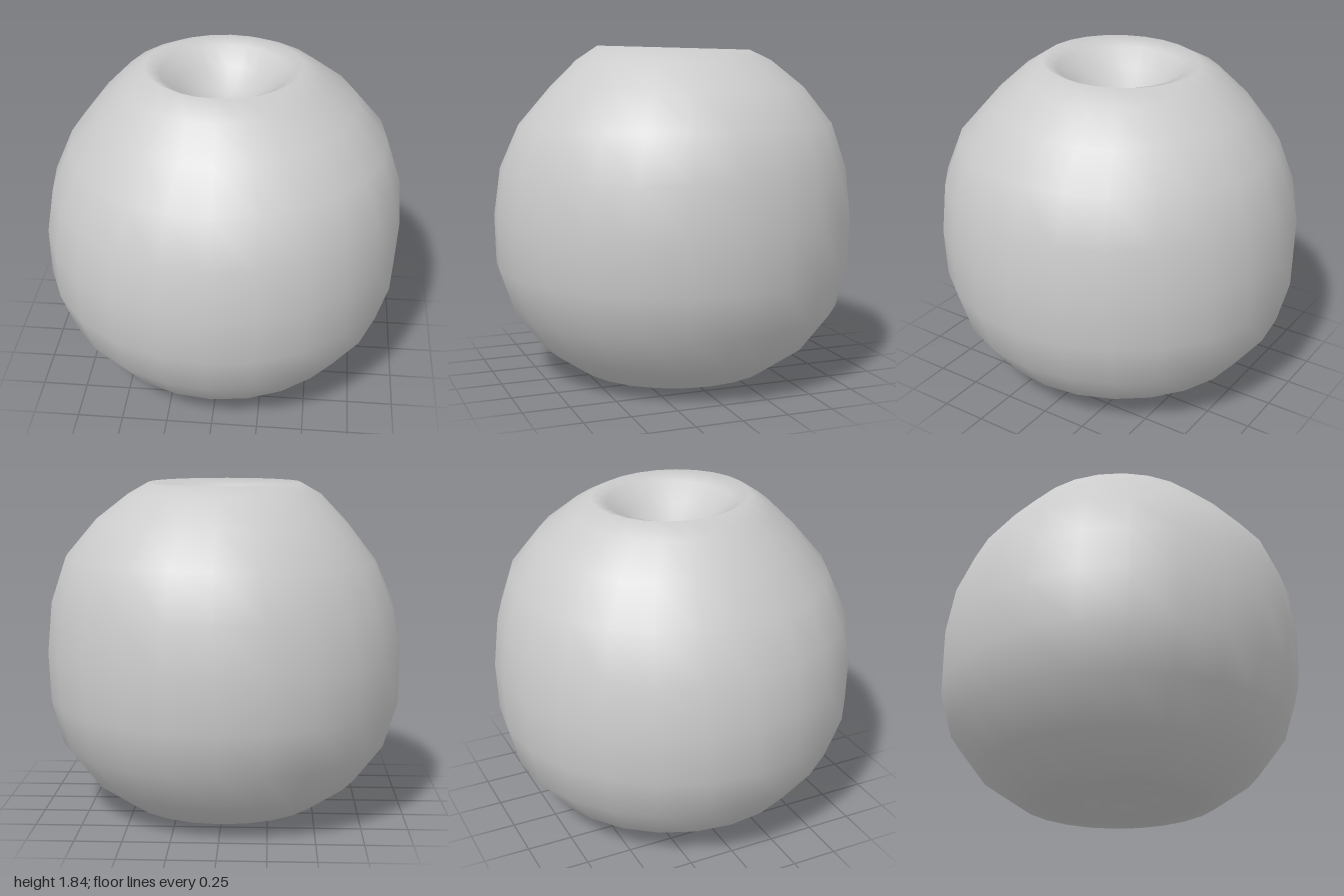
import * as THREE from 'three';
import { mergeVertices } from 'three/addons/utils/BufferGeometryUtils.js';

// Profile rings from the base dimple up and into the top dimple:
// radius, height, x shift, z shift, sideways tilt
const RINGS = [
  [0, 0.1, 0, 0, 0],
  [0.2, 0.06, 0, 0, 0],
  [0.39, 0.0, 0, 0, 0],
  [0.55, 0.038, 0, -0.01, 0],
  [0.755, 0.18, 0, -0.01, 0],
  [0.913, 0.39, 0, -0.01, 0],
  [0.983, 0.63, -0.005, 0, 0],
  [0.99, 0.9, 0, 0, 0],
  [0.955, 1.17, 0.01, 0, 0.01],
  [0.862, 1.41, 0.02, -0.01, 0.015],
  [0.7, 1.61, 0.015, -0.02, 0.01],
  [0.535, 1.76, 0, -0.01, 0],
  [0.42, 1.825, 0, -0.01, 0],
  [0.34, 1.79, 0, -0.01, 0],
  [0.25, 1.7, 0, -0.02, 0],
  [0.13, 1.61, 0, -0.03, 0],
  [0, 1.57, 0, -0.03, 0],
];
const SIDES = 24;
const LOBED_RING = 2;

function createFruitGeometry() {
  const profile = RINGS.map(([r, y]) => new THREE.Vector2(r, y));
  const lathe = new THREE.LatheGeometry(profile, SIDES);
  const pos = lathe.attributes.position;

  // Shift and tilt each ring slightly for an uneven, grown shape
  for (let i = 0; i < pos.count; i++) {
    const ring = i % RINGS.length;
    const angle = (Math.floor(i / RINGS.length) / SIDES) * Math.PI * 2;
    const [, , cx, cz, tilt] = RINGS[ring];
    let y = pos.getY(i) + tilt * Math.sin(angle);
    // Six feet around the base
    if (ring === LOBED_RING) y += 0.01 * (1 - Math.cos(6 * angle));
    // The crown is a little higher at the front
    if (ring === 12) y += 0.012 * Math.cos(angle);
    pos.setXYZ(i, pos.getX(i) + cx, y, pos.getZ(i) * 1.01 + cz);
  }

  // Weld the seam and poles so the shading is smooth all round
  lathe.deleteAttribute('uv');
  lathe.deleteAttribute('normal');
  const geometry = mergeVertices(lathe, 1e-4);
  geometry.computeVertexNormals();
  return geometry;
}

export function createModel() {
  const group = new THREE.Group();
  group.name = 'fruit';
  const body = new THREE.Mesh(
    createFruitGeometry(),
    new THREE.MeshStandardMaterial({ color: 0xcccccc })
  );
  body.name = 'fruitBody';
  group.add(body);
  return group;
}
